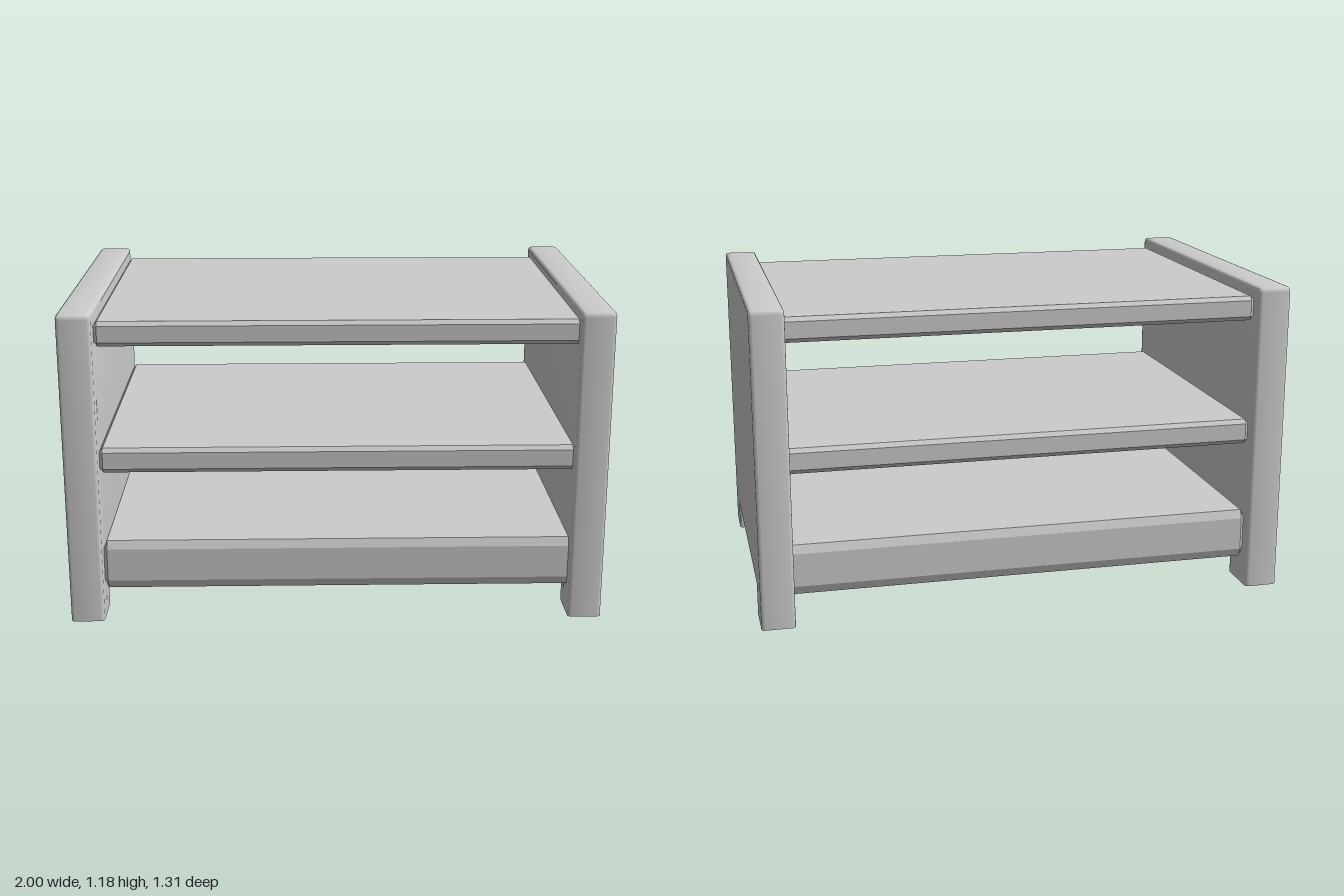
import * as THREE from 'three';
import { toCreasedNormals } from 'three/addons/utils/BufferGeometryUtils.js';
import { ConvexGeometry } from 'three/addons/geometries/ConvexGeometry.js';

const material = new THREE.MeshStandardMaterial({ color: 0xcccccc, side: THREE.DoubleSide });

// Side panel with two feet: softly bevelled edges, square-cut hollow feet on the floor
function panelGeometry() {
  const D = 0.655, H = 1.18, T = 0.125, r = 0.02, b = 0.013, low = -0.05;
  const s = new THREE.Shape();
  s.moveTo(-D, low);
  s.lineTo(-0.48, low);
  s.lineTo(-0.48, 0.11);
  s.lineTo(0.48, 0.11);
  s.lineTo(0.48, low);
  s.lineTo(D, low);
  s.lineTo(D, H - r);
  s.quadraticCurveTo(D, H, D - r, H);
  s.lineTo(-D + r, H);
  s.quadraticCurveTo(-D, H, -D, H - r);
  const g = new THREE.ExtrudeGeometry(s, {
    depth: T - 2 * b, bevelThickness: b, bevelSize: b, bevelOffset: -b,
    bevelSegments: 3, curveSegments: 4,
  });
  g.translate(0, 0, b - T / 2);
  g.rotateY(Math.PI / 2);

  // Trim at the floor and drop the faces lying on it, leaving the feet open below
  const p = g.attributes.position, kept = [];
  for (let i = 0; i < p.count; i += 3) {
    const ys = [0, 1, 2].map((k) => Math.max(0, p.getY(i + k)));
    if (Math.max(...ys) < 1e-5) continue;
    ys.forEach((y, k) => kept.push(p.getX(i + k), y, p.getZ(i + k)));
  }
  const out = new THREE.BufferGeometry();
  out.setAttribute('position', new THREE.Float32BufferAttribute(kept, 3));
  return toCreasedNormals(out, 0.7);
}

// Board with chamfered edges; c gives the chamfer along each axis
function boardGeometry(w, h, d, c) {
  const pts = [];
  for (const x of [-1, 1]) for (const y of [-1, 1]) for (const z of [-1, 1]) {
    for (let face = 0; face < 3; face++) {
      const inset = c.map((v, axis) => (axis === face ? 0 : v));
      pts.push(new THREE.Vector3(
        x * (w / 2 - inset[0]), y * (h / 2 - inset[1]), z * (d / 2 - inset[2])));
    }
  }
  return new ConvexGeometry(pts);
}

export function createModel() {
  const group = new THREE.Group();
  const add = (name, geometry, x, y, z) => {
    const mesh = new THREE.Mesh(geometry, material);
    mesh.name = name;
    mesh.position.set(x, y, z);
    group.add(mesh);
  };

  // Side panels
  const panel = panelGeometry();
  add('leftPanel', panel, 0.9375, 0, 0);
  add('rightPanel', panel, -0.9375, 0, 0);

  // Shelves: chamfer height follows board thickness, left ends run into the panel
  const shelves = [['bottomShelf', 0.11, 0.3], ['middleShelf', 0.57, 0.665], ['topShelf', 1.05, 1.142]];
  const x0 = -0.875, x1 = 0.89;
  for (const [name, y0, y1] of shelves) {
    const h = y1 - y0;
    add(name, boardGeometry(x1 - x0, h, 1.215, [0.013, h * 0.17, 0.013]), (x0 + x1) / 2, (y0 + y1) / 2, -0.005);
  }
  return group;
}
